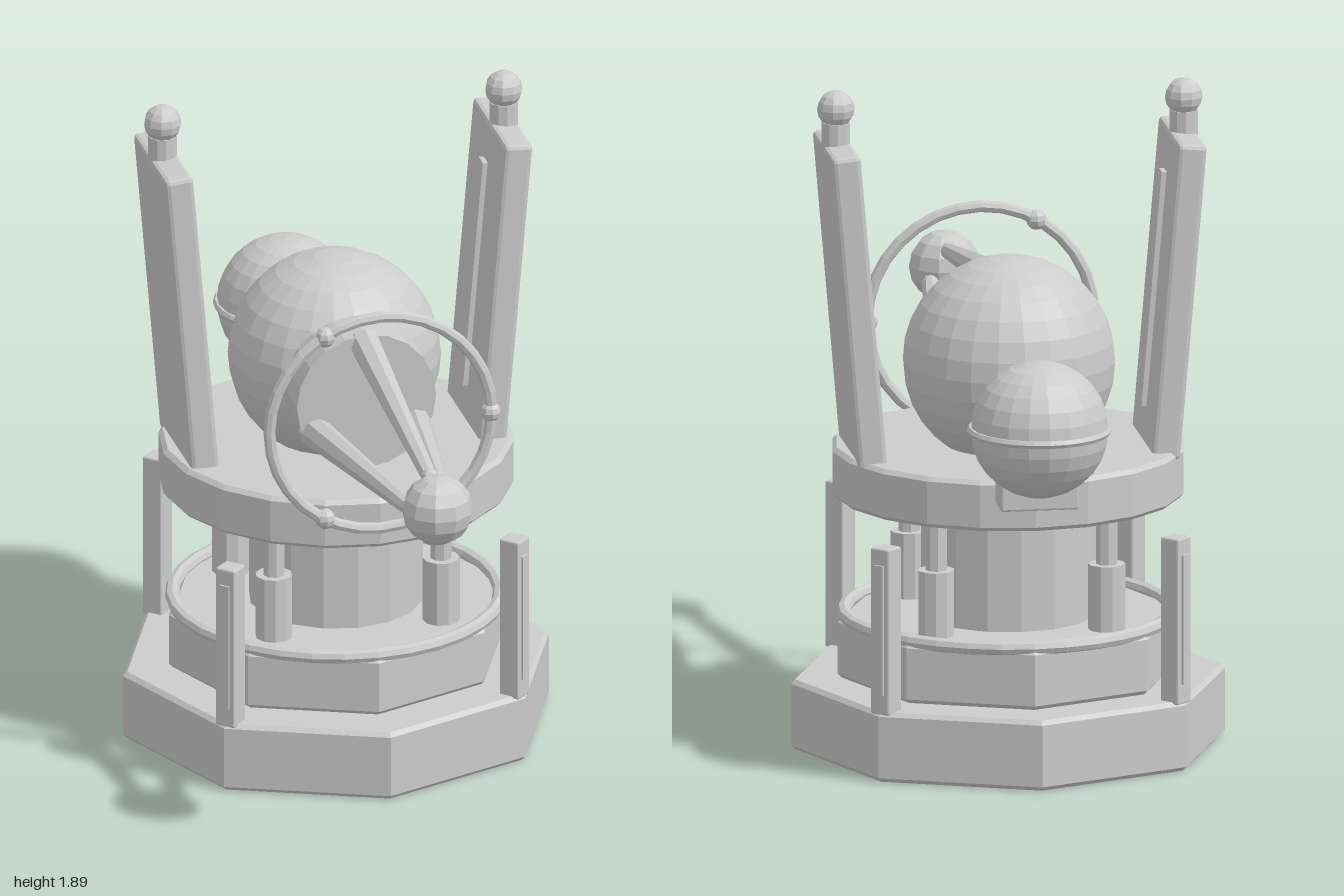
import * as THREE from 'three';
import { RoundedBoxGeometry } from 'three/addons/geometries/RoundedBoxGeometry.js';

const CZ = -0.235;   // z of the turret axis
const HUB_Y = 1.095; // height of the barrel axis

const mat = new THREE.MeshStandardMaterial({ color: 0xcccccc, flatShading: true });

function add(parent, name, geo, x = 0, y = 0, z = 0) {
  const m = new THREE.Mesh(geo, mat);
  m.name = name;
  m.position.set(x, y, z);
  parent.add(m);
  return m;
}

// Prism with bevelled rims; one corner points to +z
function prism(r, y0, y1, sides, b = 0.012) {
  const p = [[0, y0], [r - b, y0], [r, y0 + b], [r, y1 - b], [r - b, y1], [0, y1]];
  return new THREE.LatheGeometry(p.map(([a, c]) => new THREE.Vector2(a, c)), sides);
}

const box = (w, h, d, b = 0.01) => new RoundedBoxGeometry(w, h, d, 1, b);
const ball = (r, a = 12, b = 8) => new THREE.SphereGeometry(r, a, b);

// Tapered rod between two points
function rod(parent, name, a, b, ra, rb, sides) {
  const dir = b.clone().sub(a);
  const m = add(parent, name, new THREE.CylinderGeometry(rb, ra, dir.length(), sides));
  m.position.copy(a).add(b).multiplyScalar(0.5);
  m.quaternion.setFromUnitVectors(new THREE.Vector3(0, 1, 0), dir.normalize());
  return m;
}

function buildBase(root) {
  const base = new THREE.Group();
  base.name = 'base';
  base.position.z = CZ;
  root.add(base);

  add(base, 'basePlate', prism(0.612, 0, 0.2, 8));
  add(base, 'baseTier', prism(0.48, 0.2, 0.37, 8));
  add(base, 'tierRing', new THREE.TorusGeometry(0.457, 0.02, 8, 32), 0, 0.375, 0).rotation.x = Math.PI / 2;
  add(base, 'column', new THREE.CylinderGeometry(0.245, 0.245, 0.4, 16), 0, 0.54, 0);
  add(base, 'turntable', prism(0.495, 0.715, 0.86, 20));

  // Corner posts and pistons on the diagonals
  for (let i = 0; i < 4; i++) {
    const g = new THREE.Group();
    g.name = 'corner';
    g.rotation.y = Math.PI / 4 + i * Math.PI / 2;
    base.add(g);
    add(g, 'post', box(0.062, 0.475, 0.062, 0.005), 0, 0.43, 0.577);
    add(g, 'postStrip', new THREE.BoxGeometry(0.03, 0.37, 0.02), 0, 0.435, 0.604);
    add(g, 'pistonSleeve', new THREE.CylinderGeometry(0.052, 0.052, 0.2, 10), 0, 0.457, 0.34);
    add(g, 'pistonRod', new THREE.CylinderGeometry(0.03, 0.03, 0.2, 8), 0, 0.635, 0.34);
  }
}

function buildBarrel(root) {
  const barrel = new THREE.Group();
  barrel.name = 'barrel';
  barrel.position.y = HUB_Y;
  root.add(barrel);

  add(barrel, 'body', ball(0.297, 24, 16), 0, 0, -0.253);
  add(barrel, 'collar', new THREE.CylinderGeometry(0.2, 0.2, 0.25, 20), 0, 0, -0.018).rotation.x = Math.PI / 2;
  add(barrel, 'tipBall', ball(0.1, 10, 8), 0, 0, 0.9);

  // Three prongs converging on the tip
  for (let i = 0; i < 3; i++) {
    const t = Math.PI / 2 + i * Math.PI * 2 / 3;
    const at = (r, z) => new THREE.Vector3(Math.cos(t) * r, Math.sin(t) * r, z);
    rod(barrel, 'prong', at(0.168, 0.08), at(0.058, 0.83), 0.045, 0.022, 8);
    add(barrel, 'prongJoint', ball(0.025, 8, 6)).position.copy(at(0.062, 0.81));
  }

  // Focus ring with beads
  add(barrel, 'focusRing', new THREE.TorusGeometry(0.319, 0.017, 8, 32), 0, 0, 0.262);
  for (let i = 0; i < 3; i++) {
    const t = i * Math.PI * 2 / 3;
    add(barrel, 'ringBead', ball(0.029, 8, 6), Math.cos(t) * 0.317, Math.sin(t) * 0.317, 0.262);
  }
}

function buildFins(root) {
  for (const s of [-1, 1]) {
    // Outward-leaning plate with an inner strip
    const fin = new THREE.Group();
    fin.name = s > 0 ? 'leftFin' : 'rightFin';
    fin.position.set(s * 0.45, 1.288, -0.267);
    fin.rotation.z = -s * 0.085;
    root.add(fin);
    add(fin, 'finPlate', box(0.08, 0.9, 0.37, 0.012));
    add(fin, 'finStrip', new THREE.BoxGeometry(0.025, 0.67, 0.045), -s * 0.042, 0, 0);
    // Ball finial
    add(root, 'finialPin', new THREE.CylinderGeometry(0.04, 0.04, 0.09, 10), s * 0.49, 1.752, -0.267);
    add(root, 'finialBall', ball(0.053, 10, 8), s * 0.49, 1.835, -0.267);
  }
}

function buildRearTank(root) {
  const tank = new THREE.Group();
  tank.name = 'rearTank';
  tank.position.set(0, 1.025, -0.797);
  root.add(tank);
  add(tank, 'tankBall', ball(0.193, 20, 14));
  add(tank, 'tankBand', new THREE.TorusGeometry(0.191, 0.012, 6, 28)).rotation.x = Math.PI / 2;
  add(tank, 'tankBracket', box(0.22, 0.17, 0.22, 0.006), 0, -0.145, 0.092);
}

export function createModel() {
  const root = new THREE.Group();
  root.name = 'turret';
  buildBase(root);
  buildBarrel(root);
  buildFins(root);
  buildRearTank(root);
  return root;
}
